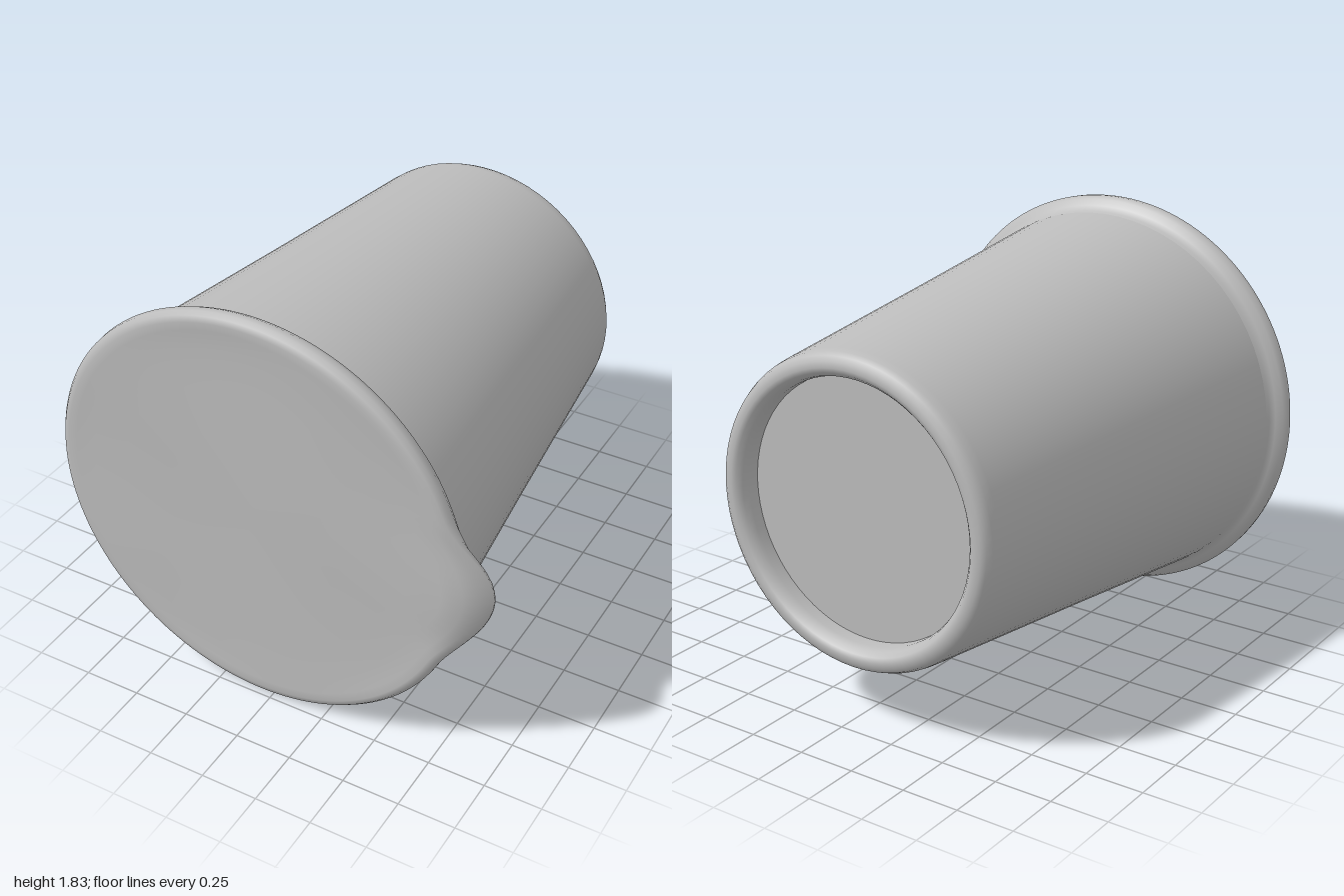
import * as THREE from 'three';
import { mergeVertices } from 'three/addons/utils/BufferGeometryUtils.js';

const SEGMENTS = 72;

// Revolve [radius, z] points (listed back to front) about the z axis
function revolve(points) {
  const profile = points.map(([r, z]) => new THREE.Vector2(r, z));
  return new THREE.LatheGeometry(profile, SEGMENTS).rotateX(Math.PI / 2);
}

// Foil lid: a rolled rim profile blended into a pull tab profile
function foilLid() {
  const rim = [[0.84, 0.83], [0.853, 0.88], [0.875, 0.897], [0.902, 0.915], [0.915, 0.94], [0.913, 0.965],
    [0.9, 0.982], [0.875, 0.99], [0.84, 0.987], [0.75, 0.983], [0.6, 0.982], [0.4, 0.982], [0.2, 0.982], [0, 0.982]];
  const tab = [[0.84, 0.83], [0.85, 0.89], [0.89, 0.93], [0.94, 0.938], [0.985, 0.918], [1.023, 0.9],
    [1.022, 0.91], [0.98, 0.945], [0.925, 0.978], [0.84, 0.99], [0.7, 0.984], [0.4, 0.982], [0.2, 0.982], [0, 0.982]];
  const positions = [], index = [];
  const n = rim.length;
  for (let j = 0; j < SEGMENTS * 2; j++) {
    const a = (j / SEGMENTS) * Math.PI;
    const off = Math.atan2(Math.sin(a + 0.05), Math.cos(a + 0.05));
    const w = Math.abs(off) < 0.42 ? Math.cos((off / 0.42) * Math.PI / 2) ** 2 : 0;
    rim.forEach(([r0, z0], i) => {
      const r = r0 + (tab[i][0] - r0) * w;
      const x = r * Math.cos(a), y = r * Math.sin(a);
      // slight creases in the foil, fading at the rim
      const crease = i > 7 ? 0.004 * Math.sin(5 * x + 3 * y) * Math.cos(4 * y - 2 * x) : 0;
      positions.push(x, y, z0 + (tab[i][1] - z0) * w + crease);
      if (i < n - 1) {
        const p = j * n + i, q = ((j + 1) % (SEGMENTS * 2)) * n + i;
        index.push(p, q, q + 1);
        if (i < n - 2) index.push(p, q + 1, p + 1);
      }
    });
  }
  const geometry = new THREE.BufferGeometry();
  geometry.setAttribute('position', new THREE.Float32BufferAttribute(positions, 3));
  geometry.setIndex(index);
  const merged = mergeVertices(geometry, 1e-5);
  merged.computeVertexNormals();
  return merged;
}

export function createModel() {
  const group = new THREE.Group();
  group.name = 'lidded cup';
  const grey = new THREE.MeshStandardMaterial({ color: 0xbcbcbc, side: THREE.DoubleSide });
  grey.name = 'plain grey';

  const add = (name, geometry) => {
    const mesh = new THREE.Mesh(geometry, grey);
    mesh.name = name;
    mesh.position.set(-0.055, 0.915, 0);
    group.add(mesh);
  };

  // Tapered wall with a rounded foot ring
  add('cupBody', revolve([[0.55, -0.89], [0.55, -0.94], [0.558, -0.97], [0.575, -0.99], [0.595, -0.997],
    [0.62, -0.993], [0.64, -0.98], [0.652, -0.955], [0.658, -0.92], [0.755, 0], [0.85, 0.86]]));
  // Recessed floor inside the foot ring
  add('cupBase', revolve([[0, -0.89], [0.55, -0.89]]));
  add('foilLid', foilLid());
  return group;
}
